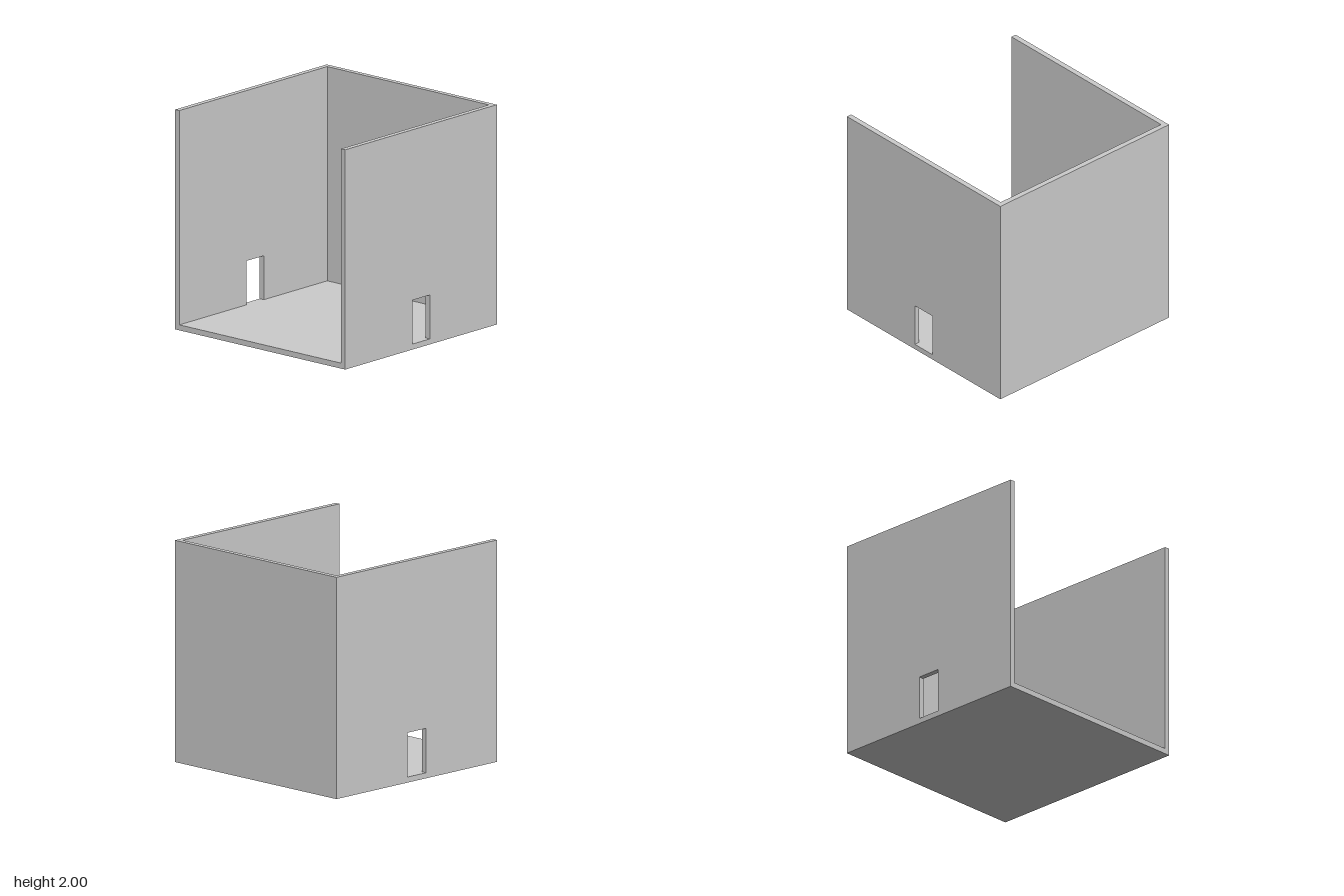
import * as THREE from 'three';

const SIZE = 2, T = 0.05;              // overall size, wall thickness
const DOOR_W = 0.23, DOOR_TOP = 0.45;  // doorway

export function createModel() {
  const group = new THREE.Group();
  const material = new THREE.MeshStandardMaterial({ color: 0xcccccc, flatShading: true });
  const add = (name, geometry, x, y, z) => {
    const mesh = new THREE.Mesh(geometry, material);
    mesh.name = name;
    mesh.position.set(x, y, z);
    group.add(mesh);
  };
  const inner = SIZE - 2 * T, h = SIZE / 2, d = DOOR_W / 2;

  // Floor and back wall fit between the side walls; the front and top are open
  add('floor', new THREE.BoxGeometry(inner, T, SIZE), 0, T / 2, 0);
  add('backWall', new THREE.BoxGeometry(inner, SIZE - T, T), 0, (SIZE + T) / 2, -h + T / 2);

  // Side wall with a doorway cut down to floor level
  const wall = new THREE.Shape([[-h, 0], [h, 0], [h, SIZE], [-h, SIZE]]
    .map(([x, y]) => new THREE.Vector2(x, y)));
  wall.holes.push(new THREE.Path([[-d, T], [-d, DOOR_TOP], [d, DOOR_TOP], [d, T]]
    .map(([x, y]) => new THREE.Vector2(x, y))));
  const side = new THREE.ExtrudeGeometry(wall, { depth: T, bevelEnabled: false });
  side.translate(0, 0, -T / 2).rotateY(-Math.PI / 2);
  add('leftWall', side, h - T / 2, 0, 0);
  add('rightWall', side, -h + T / 2, 0, 0);

  return group;
}
